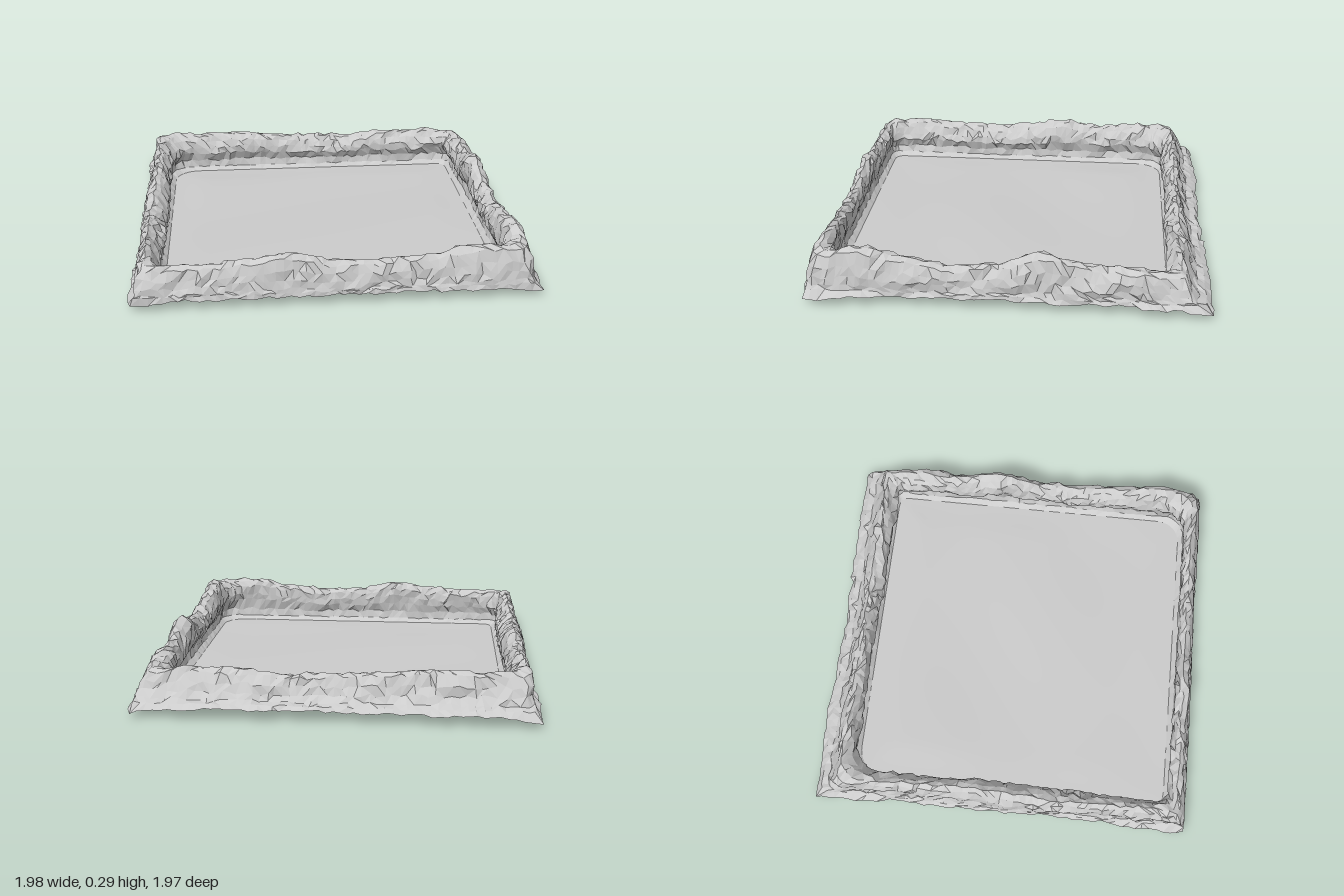
import * as THREE from 'three';

const SIDE = 54;            // columns per side of the rim
const COLS = SIDE * 4;

// Repeatable noise in -1..1
function hash(i, j, k) {
  const s = Math.sin(i * 127.1 + j * 311.7 + k * 74.7) * 43758.5453;
  return (s - Math.floor(s)) * 2 - 1;
}

// Wall height around the rim: front, right, back, left (8 stations each)
const HEIGHTS = [
  .215, .205, .225, .255, .21, .205, .22, .26,
  .25, .285, .24, .20, .22, .29, .23, .22,
  .21, .22, .215, .20, .205, .22, .235, .225,
  .235, .235, .22, .255, .22, .20, .21, .225,
];

// Smooth cyclic lookup of a table, t in 0..1
function cyclic(table, t) {
  const f = t * table.length, i = Math.floor(f), w = f - i;
  const s = w * w * (3 - 2 * w), n = table.length;
  return table[i % n] * (1 - s) + table[(i + 1) % n] * s;
}

// Rim cross-section from floor edge to skirt:
// distance of left, right, back, front; fixed y; part of wall height; corner rounding; roughness
const PROFILE = [
  [.825, .83, .765, .875, .004, 0, 1, 0],
  [.85, .855, .785, .90, .025, 0, 1, .4],
  [.855, .86, .79, .905, .065, 0, 1, .8],
  [.835, .83, .765, .89, .03, .38, 1, .9],
  [.84, .825, .765, .885, .02, .58, 1, 1],
  [.86, .835, .78, .885, .01, .80, 1, 1],
  [.88, .855, .80, .90, 0, .95, .9, .8],
  [.905, .885, .82, .92, 0, 1, .7, .8],
  [.93, .912, .84, .945, 0, .92, .6, .9],
  [.945, .93, .86, .96, 0, .72, .5, 1],
  [.948, .938, .875, .968, .02, .45, .4, 1],
  [.95, .94, .90, .975, .02, .30, .3, .8],
  [.957, .946, .935, .98, .075, 0, .2, .5],
  [.967, .954, .965, .983, .055, 0, .1, .7],
];

// Corner radius by quadrant: front left, front right, back right, back left
function cornerRadius(x, z) {
  return z > 0 ? (x < 0 ? .05 : .12) : (x > 0 ? .05 : .14);
}

// Rounds the corners of a rectangle, moving the points inside it smoothly
function roundCorner(x, z, ring) {
  const [L, R, B, F] = ring;
  const r = cornerRadius(x, z) * ring[6];
  const cx = Math.min(Math.max(x, -L + r), R - r);
  const cz = Math.min(Math.max(z, -B + r), F - r);
  const dx = x - cx, dz = z - cz, d = Math.hypot(dx, dz);
  if (d < 1e-6) return [x, z];
  const k = Math.max(Math.abs(dx), Math.abs(dz)) / d;
  return [cx + dx * k, cz + dz * k];
}

// Point on a ring's rectangle, walking front, right, back, left
function ringPoint(col, ring) {
  const [L, R, B, F] = ring;
  const side = Math.floor(col / SIDE), u = (col % SIDE) / SIDE;
  const lerp = THREE.MathUtils.lerp;
  const p = [
    [lerp(-L, R, u), F], [R, lerp(F, -B, u)],
    [lerp(R, -L, u), -B], [-L, lerp(-B, F, u)],
  ][side];
  return roundCorner(p[0], p[1], ring);
}

function rimGeometry() {
  const pos = [], index = [];
  const bulge = Array.from({ length: 44 }, (_, i) => hash(i, 3, 9) * .012);
  PROFILE.forEach((ring, j) => {
    const rough = ring[7];
    const last = j === PROFILE.length - 1;
    for (let i = 0; i < COLS; i++) {
      const t = i / COLS;
      let [x, z] = ringPoint(i, ring);
      let y = ring[4] + ring[5] * cyclic(HEIGHTS, t);
      const side = Math.floor(i / SIDE);
      // Lumps running along the wall, plus fine rock facets
      const lump = cyclic(bulge, (t + j * .013) % 1) * rough;
      if (side % 2) x += lump; else z += lump * (side === 0 ? .5 : 1);
      x += hash(i, j, 1) * .009 * rough;
      y += hash(i, j, 2) * .011 * rough;
      z += hash(i, j, 3) * .008 * rough;
      if (last) {
        // Ragged skirt: wider and drooping near the corners, torn at the back
        const corner = side % 2 ? THREE.MathUtils.smoothstep(Math.abs(z), .58, .64) : 0;
        x += Math.sign(x) * corner * .022;
        y -= THREE.MathUtils.smoothstep(Math.abs(x) + Math.abs(z), 1.75, 1.93) * .022;
        if (side === 2 && x > -.36 && x < .25) z += .012;
      }
      x = THREE.MathUtils.clamp(x, -1, 1);
      z = THREE.MathUtils.clamp(z, -1, .99);
      pos.push(x, Math.max(y, 0), z);
    }
  });
  for (let j = 0; j < PROFILE.length - 1; j++) {
    for (let i = 0; i < COLS; i++) {
      const n = (i + 1) % COLS;
      const a = j * COLS + i, b = j * COLS + n, c = a + COLS, d = b + COLS;
      // Alternate the diagonal for an irregular facet pattern
      if (hash(i, j, 5) > 0) index.push(a, c, b, b, c, d);
      else index.push(a, c, d, a, d, b);
    }
  }
  const g = new THREE.BufferGeometry();
  g.setAttribute('position', new THREE.Float32BufferAttribute(pos, 3));
  g.setIndex(index);
  g.computeVertexNormals();
  return g;
}

function floorGeometry() {
  const ring = PROFILE[0], [L, R, B, F] = ring;
  const g = new THREE.PlaneGeometry(L + R, B + F, SIDE, SIDE);
  g.rotateX(-Math.PI / 2);
  g.translate((R - L) / 2, 0, (F - B) / 2);
  const p = g.attributes.position;
  for (let i = 0; i < p.count; i++) {
    const [x, z] = roundCorner(p.getX(i), p.getZ(i), ring);
    // Gentle swells that fade out at the wall
    const edge = Math.min(x + L, R - x, z + B, F - z);
    const fade = THREE.MathUtils.smoothstep(edge, 0, .2);
    const swell = Math.sin(x * 5 + 1.5 * Math.sin(z * 3)) * .5 + Math.sin(z * 7 + x * 2) * .5;
    p.setXYZ(i, x, .004 + fade * (.004 + swell * .006), z);
  }
  g.computeVertexNormals();
  return g;
}

export function createModel() {
  const group = new THREE.Group();
  group.name = 'rockRimmedGround';
  const add = (name, geometry, flatShading) => {
    const material = new THREE.MeshStandardMaterial({
      color: 0xcccccc, side: THREE.DoubleSide, flatShading,
    });
    const mesh = new THREE.Mesh(geometry, material);
    mesh.name = name;
    group.add(mesh);
  };
  add('groundFloor', floorGeometry(), false);
  add('rockyRim', rimGeometry(), true);
  return group;
}
